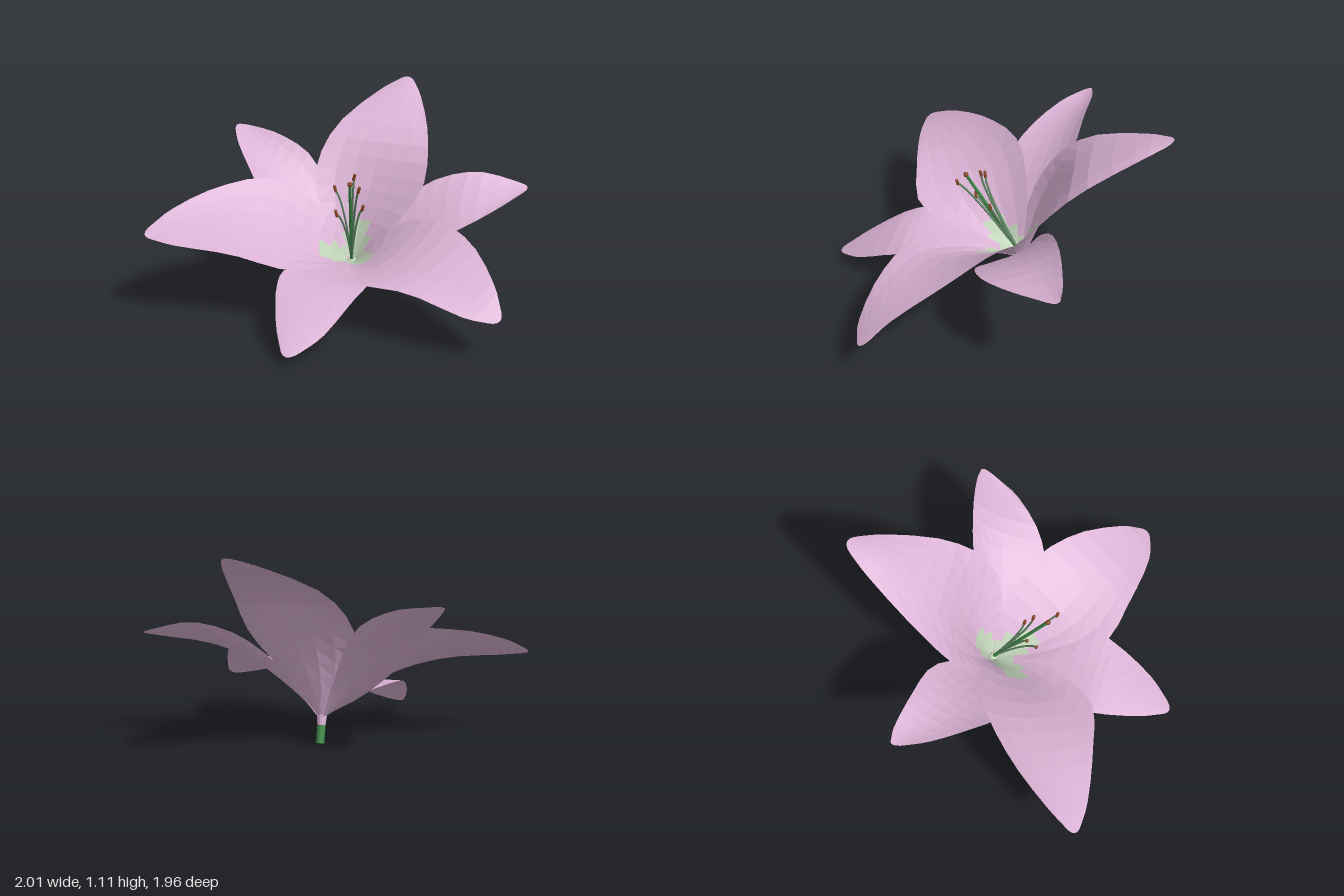
import * as THREE from 'three';

const mat = (name, color, side = THREE.FrontSide, flatShading = false) =>
  Object.assign(new THREE.MeshStandardMaterial({ color, side, flatShading }), { name });
const V = (p) => new THREE.Vector3(...p);

const ROWS = 14, COLS = 6;
const THROAT = new THREE.Vector3(-0.06, 0.16, -0.14);
const AXIS = new THREE.Vector3(0.15, 0.88, 0.45);

function meshGeometry(pos, index) {
  const g = new THREE.BufferGeometry();
  g.setAttribute('position', new THREE.Float32BufferAttribute(pos, 3));
  g.setIndex(index);
  g.computeVertexNormals();
  return g;
}

// Petal lofted across three curves (edge, midrib, edge), with the upper side as its front.
// Inner petals also get a thin pale patch lying on the upper side at the throat.
function petalGeometries({ edgeA, rib, edgeB, tip, inner }) {
  const tipV = V(tip), lastRib = V(rib[rib.length - 1]);
  const dir = V(rib[0]).sub(THROAT).setY(0).normalize();
  const startAt = (turn) => dir.clone().applyAxisAngle(new THREE.Vector3(0, 1, 0), turn)
    .multiplyScalar(inner ? 0.026 : 0.032).add(THROAT);
  const edgeEnd = (points) => tipV.clone().lerp(lastRib, 0.3)
    .addScaledVector(V(points[points.length - 1]).sub(lastRib), 0.45);
  const rail = (start, points, end) => new THREE.CatmullRomCurve3([start, ...points.map(V), end]);
  // Which turning side edge A lies on
  const side = Math.sign(dir.z * (edgeA[0][0] - edgeB[0][0]) - dir.x * (edgeA[0][2] - edgeB[0][2]));
  const a = rail(startAt(side * 0.9), edgeA, edgeEnd(edgeA));
  const m = rail(startAt(0), rib, tipV);
  const b = rail(startAt(-side * 0.9), edgeB, edgeEnd(edgeB));

  const pos = [], all = [], pale = [];
  for (let i = 0; i <= ROWS; i++) {
    const u = i / ROWS, pa = a.getPoint(u), pm = m.getPoint(u), pb = b.getPoint(u);
    for (let j = 0; j <= COLS; j++) {
      const v = j / COLS;
      const p = pa.clone().multiplyScalar((1 - v) * (1 - 2 * v))
        .addScaledVector(pm, 4 * v * (1 - v)).addScaledVector(pb, v * (2 * v - 1));
      pos.push(p.x, p.y, p.z);
    }
  }
  // Wind the faces so that they look towards the flower's axis
  const across = V(edgeB[1]).sub(V(edgeA[1])), along = V(rib[2]).sub(V(rib[0]));
  const upward = across.cross(along).dot(AXIS) > 0;
  for (let i = 0; i < ROWS; i++) {
    for (let j = 0; j < COLS; j++) {
      const k = i * (COLS + 1) + j, n = k + COLS + 1;
      const quad = upward ? [k, k + 1, n, k + 1, n + 1, n] : [k, n, k + 1, k + 1, n, n + 1];
      all.push(...quad);
      if (inner && i + Math.abs(j - (COLS - 1) / 2) < 2.9) pale.push(...quad);
    }
  }
  const petal = meshGeometry(pos, all);
  const normals = petal.attributes.normal.array;
  const patch = inner && meshGeometry(pos.map((c, i) => c + normals[i] * 0.004), pale);
  return { petal, patch };
}

// Three broad inner petals and three narrower outer ones
const PETALS = {
  backPetal: {
    inner: true, tip: [0.02, 1.105, -0.98],
    edgeA: [[0.16, 0.36, -0.14], [0.33, 0.61, -0.27], [0.3, 0.85, -0.49], [0.15, 1.035, -0.82]],
    rib: [[-0.04, 0.37, -0.24], [0, 0.61, -0.33], [0.01, 0.85, -0.47], [0.02, 1.05, -0.8]],
    edgeB: [[-0.22, 0.38, -0.14], [-0.33, 0.64, -0.25], [-0.29, 0.87, -0.46], [-0.11, 1.05, -0.83]],
  },
  frontLeftPetal: {
    inner: true, tip: [1.0, 0.22, 0.53],
    edgeA: [[0.15, 0.37, -0.16], [0.45, 0.51, -0.07], [0.72, 0.48, 0.12], [0.93, 0.35, 0.38]],
    rib: [[0.1, 0.25, 0.05], [0.33, 0.345, 0.22], [0.62, 0.38, 0.35], [0.88, 0.3, 0.48]],
    edgeB: [[-0.01, 0.25, 0.18], [0.15, 0.29, 0.47], [0.5, 0.315, 0.56], [0.83, 0.235, 0.59]],
  },
  frontRightPetal: {
    inner: true, tip: [-1.0, 0.49, 0.65],
    edgeA: [[-0.2, 0.42, -0.15], [-0.5, 0.655, -0.04], [-0.75, 0.655, 0.2], [-0.93, 0.58, 0.47]],
    rib: [[-0.18, 0.28, 0.05], [-0.4, 0.44, 0.22], [-0.65, 0.51, 0.39], [-0.89, 0.51, 0.57]],
    edgeB: [[-0.06, 0.26, 0.2], [-0.2, 0.33, 0.51], [-0.5, 0.42, 0.61], [-0.82, 0.455, 0.67]],
  },
  frontPetal: {
    inner: false, tip: [-0.02, 0.05, 0.975],
    edgeA: [[0.07, 0.235, 0.1], [0.24, 0.28, 0.4], [0.21, 0.24, 0.57], [0.12, 0.115, 0.82]],
    rib: [[-0.04, 0.22, 0.1], [-0.02, 0.265, 0.4], [-0.02, 0.255, 0.57], [-0.02, 0.14, 0.82]],
    edgeB: [[-0.15, 0.235, 0.1], [-0.26, 0.285, 0.4], [-0.24, 0.26, 0.57], [-0.14, 0.14, 0.82]],
  },
  backLeftPetal: {
    inner: false, tip: [0.91, 0.61, -0.5],
    edgeA: [[0.12, 0.42, -0.26], [0.34, 0.62, -0.38], [0.6, 0.69, -0.47], [0.82, 0.645, -0.52]],
    rib: [[0.14, 0.3, -0.14], [0.36, 0.47, -0.22], [0.6, 0.57, -0.29], [0.84, 0.59, -0.42]],
    edgeB: [[0.18, 0.24, 0.01], [0.44, 0.39, 0.03], [0.65, 0.49, -0.07], [0.82, 0.57, -0.27]],
  },
  backRightPetal: {
    inner: false, tip: [-0.915, 0.85, -0.4],
    edgeA: [[-0.2, 0.4, -0.25], [-0.4, 0.7, -0.38], [-0.62, 0.815, -0.41], [-0.83, 0.85, -0.43]],
    rib: [[-0.25, 0.32, -0.13], [-0.45, 0.55, -0.19], [-0.65, 0.71, -0.26], [-0.83, 0.81, -0.35]],
    edgeB: [[-0.25, 0.27, 0.02], [-0.5, 0.49, 0.05], [-0.66, 0.66, -0.06], [-0.83, 0.79, -0.24]],
  },
};

// Straight tapered rod between two points
function rod(from, to, r0, r1, material, sides = 10) {
  const a = V(from), d = V(to).sub(a);
  const mesh = new THREE.Mesh(new THREE.CylinderGeometry(r1, r0, d.length(), sides), material);
  mesh.position.copy(a).addScaledVector(d, 0.5);
  mesh.quaternion.setFromUnitVectors(new THREE.Vector3(0, 1, 0), d.normalize());
  return mesh;
}

export function createModel() {
  const petalPink = mat('petalPink', 0xdbb3d5, THREE.DoubleSide, true);
  const throatGreen = mat('throatGreen', 0xc0d4b8, THREE.DoubleSide, true);
  const stemGreen = mat('stemGreen', 0x3f8a4a);
  const filamentGreen = mat('filamentGreen', 0x648c68, THREE.DoubleSide);
  const pollenBrown = mat('pollenBrown', 0x8f4c2a);

  const model = new THREE.Group();
  model.name = 'lilyFlower';
  const add = (name, mesh, parent = model) => {
    mesh.name = name;
    parent.add(mesh);
    return mesh;
  };

  for (const [name, data] of Object.entries(PETALS)) {
    const { petal, patch } = petalGeometries(data);
    add(name, new THREE.Mesh(petal, petalPink));
    if (patch) add(name + 'ThroatPatch', new THREE.Mesh(patch, throatGreen));
  }

  // Stem, the pink neck that joins it to the petals, and the pale floor of the throat
  add('stem', rod([-0.07, 0.005, -0.18], [-0.065, 0.105, -0.155], 0.024, 0.024, stemGreen));
  add('neck', rod([-0.065, 0.1, -0.156], [-0.06, 0.165, -0.14], 0.023, 0.03, petalPink));
  const floor = add('throatFloor', new THREE.Mesh(new THREE.SphereGeometry(0.027, 10, 6), throatGreen));
  floor.position.copy(THROAT).y += 0.005;
  floor.scale.y = 0.6;

  // Pistil with a rounded stigma
  const pistilTip = [0.04, 0.745, 0.165];
  const pistil = add('pistil', new THREE.Group());
  add('style', rod([-0.06, 0.16, -0.14], pistilTip, 0.011, 0.009, stemGreen, 8), pistil);
  const stigma = add('stigma', new THREE.Mesh(new THREE.SphereGeometry(0.015, 10, 8), pollenBrown), pistil);
  stigma.position.set(...pistilTip);

  // Stamens: filaments that follow the pistil, then bow outwards to an upright anther
  const anthers = [[-0.08, 0.68, 0.08], [-0.055, 0.55, 0.13], [0.065, 0.56, 0.02],
    [0.105, 0.73, 0.2], [0.035, 0.76, 0.08]];
  for (const p of anthers) {
    const stamen = add('stamen', new THREE.Group());
    const end = V(p), start = new THREE.Vector3(-0.057, 0.17, -0.135);
    const bend = start.clone().lerp(V(pistilTip), end.y * 0.95).lerp(end, 0.4);
    const curve = new THREE.QuadraticBezierCurve3(start, bend, end);
    add('filament', new THREE.Mesh(new THREE.TubeGeometry(curve, 12, 0.006, 6), filamentGreen), stamen);
    const anther = add('anther', new THREE.Mesh(new THREE.CapsuleGeometry(0.009, 0.03, 4, 8), pollenBrown), stamen);
    anther.position.copy(end);
    anther.rotation.set(0.15, 0, end.x > 0 ? -0.3 : 0.2);
  }
  return model;
}
